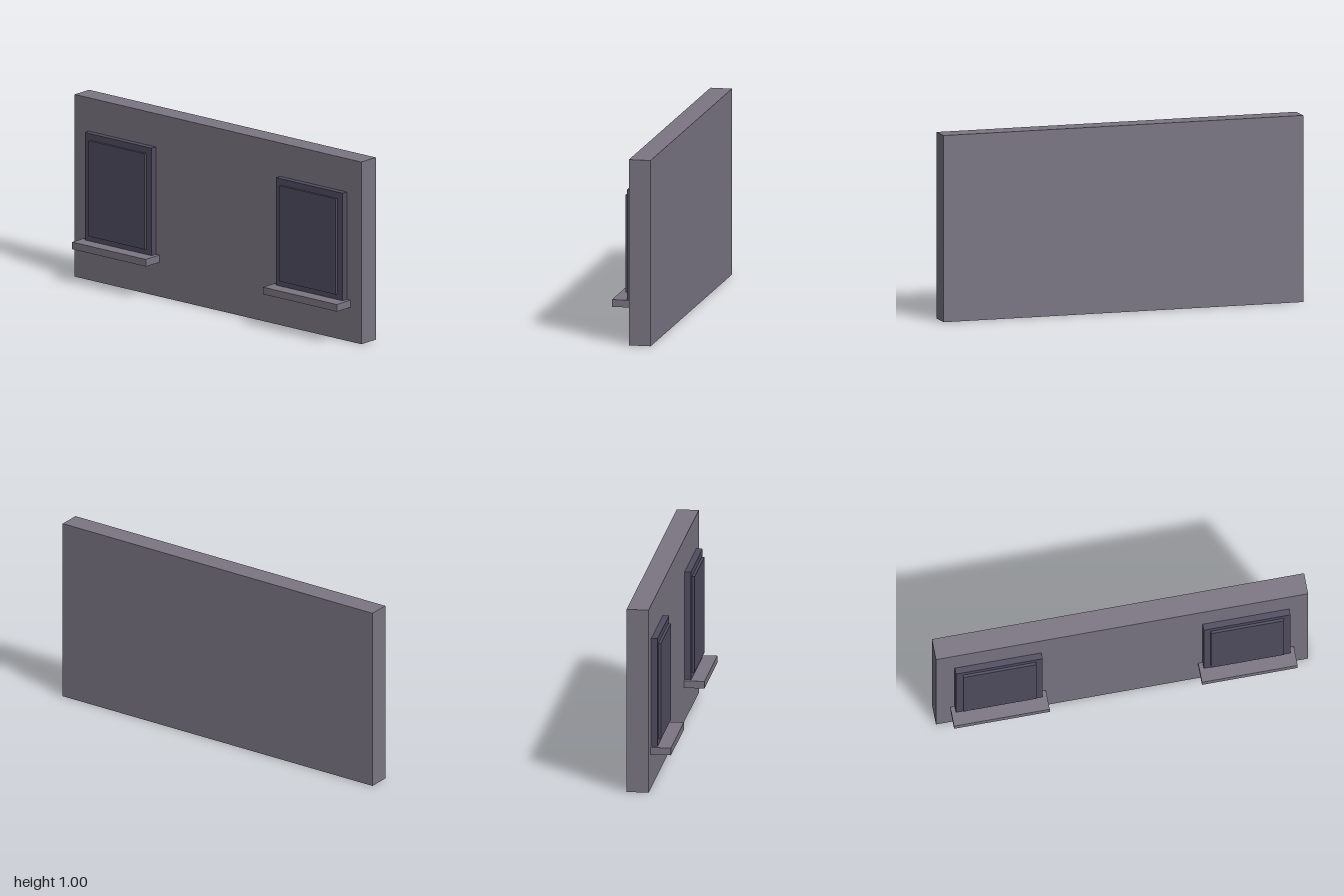
import * as THREE from 'three';

const stone = new THREE.MeshStandardMaterial({ color: 0x7b7683 });
stone.name = 'grey stone';
const dark = new THREE.MeshStandardMaterial({ color: 0x504d60 });
dark.name = 'dark window';

// Box given by its extents on each axis
function box(name, material, [x0, x1], [y0, y1], [z0, z1]) {
  const mesh = new THREE.Mesh(new THREE.BoxGeometry(x1 - x0, y1 - y0, z1 - z0), material);
  mesh.position.set((x0 + x1) / 2, (y0 + y1) / 2, (z0 + z1) / 2);
  mesh.name = name;
  return mesh;
}

export function createModel() {
  const model = new THREE.Group();
  model.name = 'wallWithWindows';
  const face = 0.004; // front face of the wall
  model.add(box('wall', stone, [-1, 1], [0, 1], [-0.113, face]));

  // A window on each side: frame, raised pane and projecting sill
  for (const [name, x] of [['leftWindow', 0.666], ['rightWindow', -0.666]]) {
    const win = new THREE.Group();
    win.name = name;
    win.position.x = x;
    win.add(
      box('frame', dark, [-0.233, 0.233], [0.227, 0.817], [face, 0.038]),
      box('pane', dark, [-0.196, 0.196], [0.257, 0.782], [0.038, 0.052]),
      box('sill', stone, [-0.257, 0.257], [0.188, 0.227], [face, 0.113]),
    );
    model.add(win);
  }
  return model;
}
